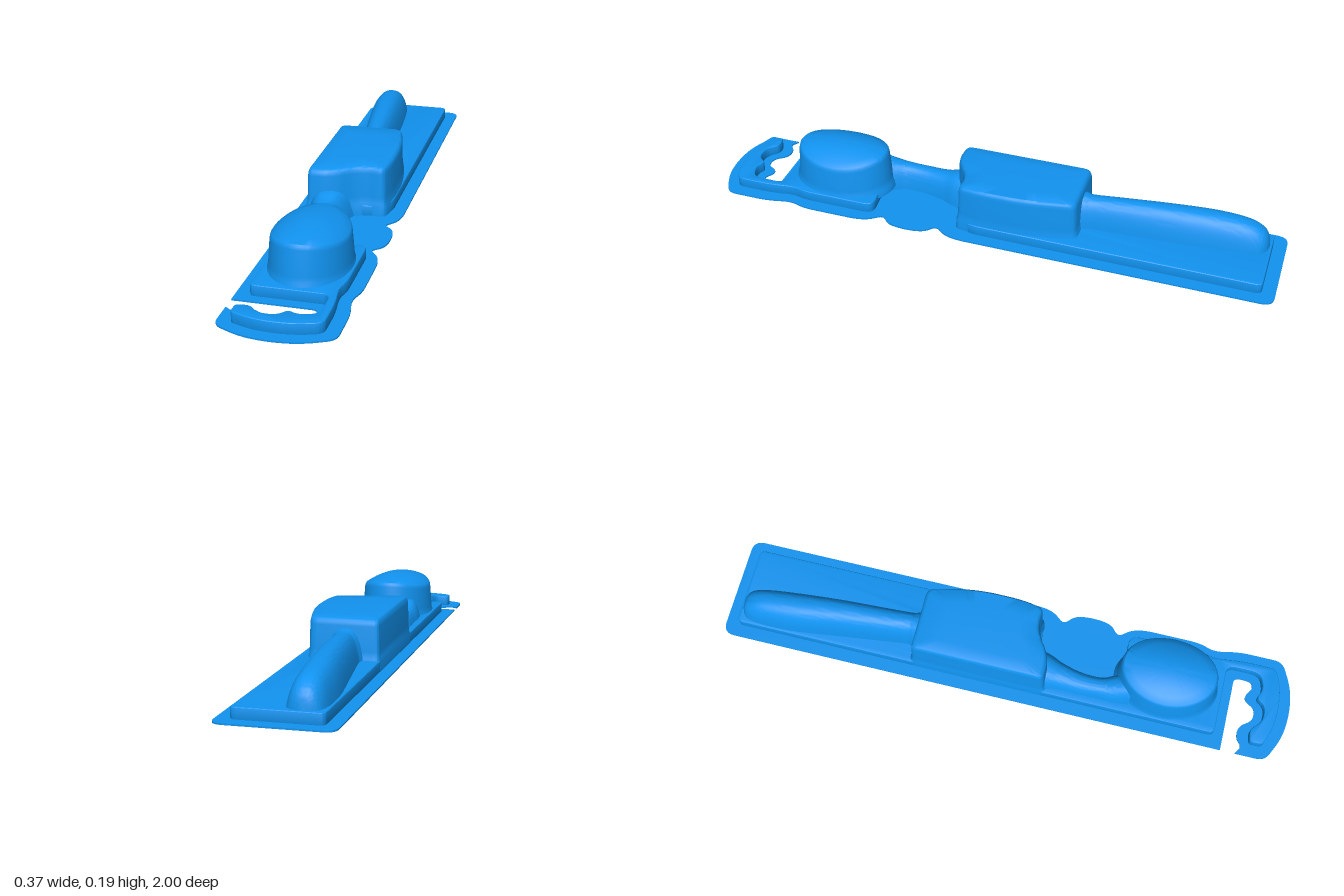
import * as THREE from 'three';
import { toCreasedNormals } from 'three/addons/utils/BufferGeometryUtils.js';

const material = new THREE.MeshStandardMaterial({ color: 0x1193f0, side: THREE.DoubleSide });

// Closed outline from corners [x, z, radius], each corner rounded by a quadratic curve.
function roundedOutline(corners, steps = 8) {
  const out = [];
  const n = corners.length;
  corners.forEach(([x, z, r = 0], i) => {
    const p = new THREE.Vector2(x, z);
    if (!r) { out.push(p); return; }
    const ends = [corners[(i + n - 1) % n], corners[(i + 1) % n]].map(([qx, qz]) => {
      const d = new THREE.Vector2(qx, qz).sub(p);
      return p.clone().addScaledVector(d, Math.min(r / d.length(), 0.48));
    });
    out.push(...new THREE.QuadraticBezierCurve(ends[0], p, ends[1]).getPoints(steps));
  });
  return out;
}

// Flat slab of an outline, standing on y = 0.
function slab(outline, height, bevel) {
  const shape = new THREE.Shape(outline.map(p => new THREE.Vector2(p.x, -p.y)));
  const geo = new THREE.ExtrudeGeometry(shape, {
    depth: height - 2 * bevel, bevelEnabled: bevel > 0, bevelSize: bevel,
    bevelThickness: bevel, bevelOffset: -bevel, bevelSegments: 3,
  });
  geo.translate(0, 0, bevel);
  geo.rotateX(-Math.PI / 2);
  return toCreasedNormals(geo, 0.5);
}

// Skin over rings of equal point counts.
function loft(rings, crease) {
  const m = rings[0].length;
  const index = [];
  for (let i = 0; i < rings.length - 1; i++) {
    for (let j = 0; j < m - 1; j++) {
      const a = i * m + j, c = a + m;
      index.push(a, a + 1, c + 1, a, c + 1, c);
    }
  }
  const geo = new THREE.BufferGeometry().setFromPoints(rings.flat());
  geo.setIndex(index);
  return toCreasedNormals(geo, crease);
}

// Raised pocket: the outline shrinks about its centre at levels [scale, fraction of top height].
function pocket(outline, cx, cz, levels, top) {
  const loop = [...outline, outline[0]].reverse();
  return loft(levels.map(([s, f]) => loop.map(p => {
    const x = cx + (p.x - cx) * s, z = cz + (p.y - cz) * s;
    return new THREE.Vector3(x, f * top(x, z), z);
  })), 0.6);
}

// Arched ridge through stations [z, centre x, half width, height], in order of rising z.
function ridge(stations, flare) {
  const spine = new THREE.CatmullRomCurve3(
    stations.map(([z, x, , h]) => new THREE.Vector3(x, h, z)), false, 'catmullrom', 0.5);
  const widths = new THREE.CatmullRomCurve3(
    stations.map(([z, , w]) => new THREE.Vector3(w, 0, z)), false, 'catmullrom', 0.5);
  const rings = [];
  for (let i = 0; i <= 48; i++) {
    const c = spine.getPoint(i / 48), w = widths.getPoint(i / 48).x;
    const ring = [];
    for (let j = 0; j <= 32; j++) {
      const t = Math.PI * j / 32, cos = Math.cos(t), s = Math.sin(t);
      const side = Math.sign(cos) * Math.pow(Math.abs(cos), 0.8) * (1 + flare * (1 - s) ** 3);
      ring.push(new THREE.Vector3(c.x + w * side, c.y * Math.pow(Math.max(s, 0), 0.8), c.z));
    }
    rings.push(ring);
  }
  return loft(rings, 1.2);
}

export function createModel() {
  const group = new THREE.Group();
  const add = (name, geometry) => {
    const mesh = new THREE.Mesh(geometry, material);
    mesh.name = name;
    group.add(mesh);
  };

  // Thin backing sheet with thumb tab and hanging slot
  add('backingSheet', slab(roundedOutline([
    [-0.183, -1, 0.04], [0.183, -1, 0.04],
    [0.183, 0.11, 0.06], [0.138, 0.165, 0.02], [0.183, 0.205, 0.06],
    [0.183, 0.325, 0.06], [0.138, 0.362, 0.02], [0.183, 0.42, 0.06],
    [0.183, 0.65, 0.04], [0.163, 0.705, 0.04], [0.183, 0.79, 0.04],
    [0.183, 0.945, 0.03], [0.09, 0.99, 0.09], [0, 1, 0.05], [-0.09, 0.99, 0.09],
    [-0.183, 0.945, 0.03], [-0.183, 0.84], [-0.155, 0.86, 0.02], [-0.13, 0.835, 0.02],
    [-0.085, 0.835, 0.03], [-0.055, 0.88, 0.03], [-0.01, 0.88, 0.03], [0.01, 0.84, 0.02],
    [0.035, 0.84, 0.02], [0.06, 0.86, 0.02], [0.085, 0.85, 0.025],
    [0.085, 0.79, 0.02], [-0.183, 0.79],
  ]), 0.005, 0));

  // Raised tray, running on into the hook rim around the slot
  add('raisedTray', slab(roundedOutline([
    [-0.14, -0.955, 0.02], [0.14, -0.955, 0.02], [0.14, 0.05, 0.04], [0.1, 0.1, 0.03],
    [0, 0.11, 0.02], [-0.03, 0.2, 0.06], [-0.055, 0.37, 0.03], [0, 0.41, 0.02],
    [0.05, 0.41, 0.02], [0.14, 0.4, 0.04], [0.14, 0.66, 0.03], [0.127, 0.71, 0.03],
    [0.14, 0.8, 0.04], [0.14, 0.925, 0.025], [0.07, 0.95, 0.06], [0, 0.956, 0.03],
    [-0.07, 0.95, 0.06], [-0.14, 0.925, 0.015], [-0.14, 0.88, 0.012], [-0.095, 0.872, 0.02],
    [-0.06, 0.91, 0.025], [-0.005, 0.91, 0.025], [0.02, 0.875, 0.015], [0.055, 0.892, 0.02],
    [0.112, 0.875, 0.035], [0.112, 0.756, 0.03], [-0.14, 0.756, 0.02],
  ]), 0.041, 0.005));

  // Central block pocket, slightly crowned along its length
  add('blockPocket', pocket(roundedOutline([
    [-0.136, -0.318, 0.02], [0.095, -0.318, 0.025], [0.133, -0.15, 0.15], [0.133, 0.02, 0.05],
    [0.12, 0.096, 0.02], [0.04, 0.092, 0.06], [-0.05, 0.155, 0.05], [-0.136, 0.152, 0.02],
  ]), -0.01, -0.09,
  [[1.04, 0], [1.03, 0.23], [1.012, 0.28], [1.0, 0.4], [0.985, 0.88], [0.975, 0.94],
    [0.955, 0.98], [0.92, 1], [0.6, 1], [0.3, 1], [0.001, 1]],
  (x, z) => 0.18 - 0.12 * (z + 0.09) ** 2 - 0.15 * x * x));

  // Oval head pocket with a domed top
  const oval = [];
  for (let i = 0; i < 64; i++) {
    const t = i / 64 * Math.PI * 2;
    oval.push(new THREE.Vector2(0.128 * Math.cos(t), 0.56 + 0.171 * Math.sin(t)));
  }
  add('headPocket', pocket(oval, 0, 0.56,
    [[1.07, 0.15], [1.05, 0.27], [1.025, 0.32], [1.01, 0.42], [0.965, 0.92], [0.95, 0.975],
      [0.92, 1], [0.75, 1], [0.55, 1], [0.35, 1], [0.18, 1], [0.001, 1]],
    (x, z) => 0.189 - 0.042 * (x / 0.122) ** 2 - 0.02 * ((z - 0.56) / 0.165) ** 2));

  // Long rounded handle pocket behind the block
  add('handlePocket', ridge([
    [-0.948, -0.072, 0.012, 0.035], [-0.938, -0.072, 0.038, 0.08], [-0.915, -0.071, 0.054, 0.108],
    [-0.86, -0.069, 0.062, 0.13], [-0.75, -0.062, 0.066, 0.141], [-0.6, -0.047, 0.062, 0.144],
    [-0.45, -0.034, 0.056, 0.141], [-0.35, -0.025, 0.053, 0.138], [-0.325, -0.024, 0.058, 0.141],
    [-0.28, -0.024, 0.066, 0.15],
  ], 0.12));

  // Low neck joining block and head
  add('neckPocket', ridge([
    [0.1, -0.06, 0.075, 0.11], [0.155, -0.062, 0.062, 0.1], [0.2, -0.068, 0.05, 0.088],
    [0.27, -0.077, 0.042, 0.083], [0.34, -0.077, 0.04, 0.086], [0.385, -0.068, 0.05, 0.095],
    [0.45, -0.05, 0.06, 0.12],
  ], 0.15));

  return group;
}
